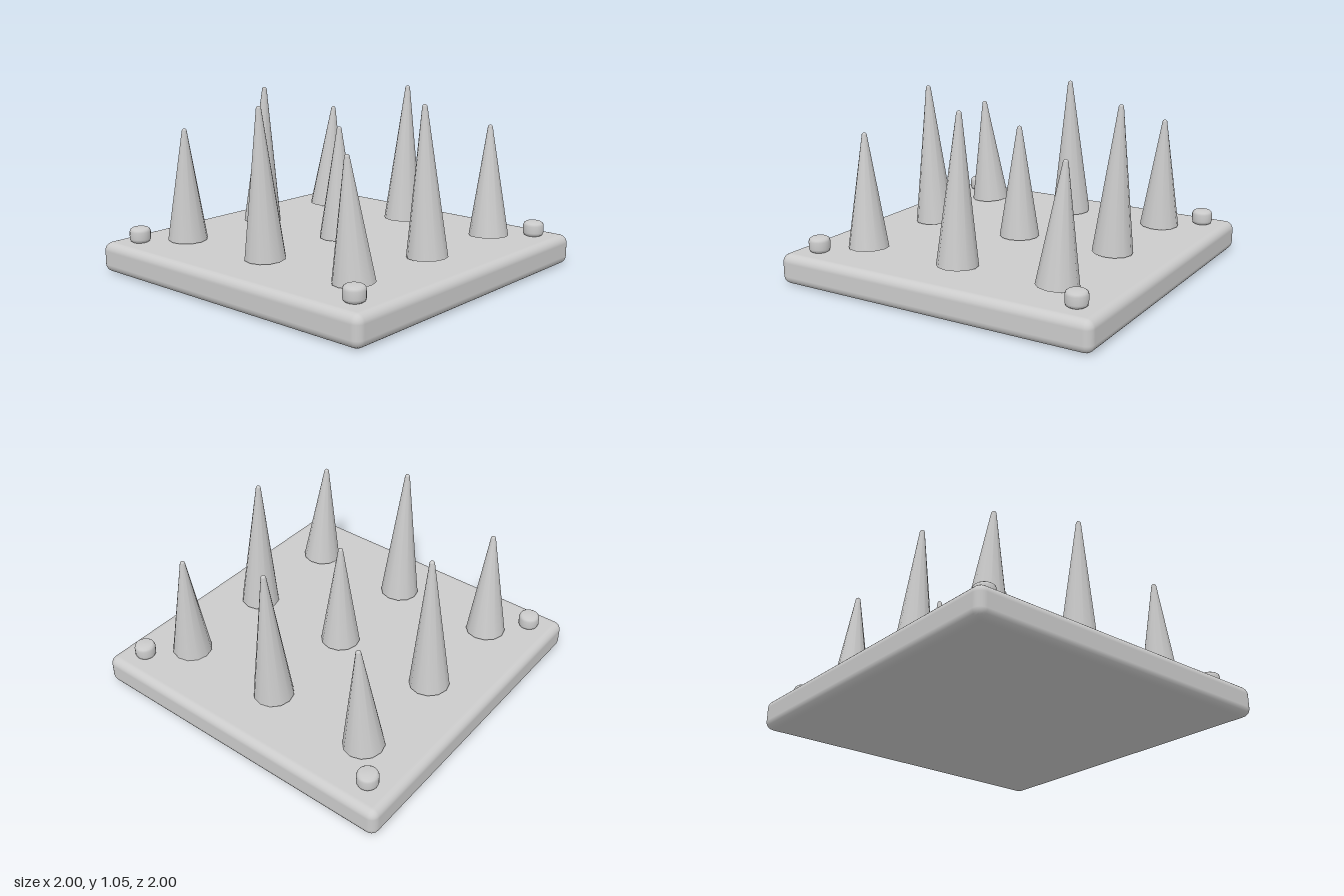
import * as THREE from 'three';
import { RoundedBoxGeometry } from 'three/addons/geometries/RoundedBoxGeometry.js';

const material = new THREE.MeshStandardMaterial({ color: 0xcccccc });

function addMesh(parent, name, geometry, x, y, z) {
  const mesh = new THREE.Mesh(geometry, material);
  mesh.name = name;
  mesh.position.set(x, y, z);
  parent.add(mesh);
  return mesh;
}

// Tapered spike with a small rounded tip, centred on its own mid height
function createSpike(length) {
  const spike = new THREE.Group();
  spike.name = 'spike';
  const tipRadius = 0.015;
  const shaft = length - tipRadius;
  const mid = -tipRadius / 2;
  addMesh(spike, 'spikeShaft', new THREE.CylinderGeometry(tipRadius, 0.119, shaft, 12), 0, mid, 0);
  addMesh(spike, 'spikeTip', new THREE.SphereGeometry(tipRadius, 12, 8), 0, mid + shaft / 2, 0);
  return spike;
}

export function createModel() {
  const model = new THREE.Group();
  model.name = 'spikePlate';

  // Base plate with rounded edges
  addMesh(model, 'basePlate', new RoundedBoxGeometry(2, 0.18, 2, 3, 0.05), 0, 0.09, 0);

  // Three by three spikes: corners and centre short, edge middles tall, each slightly tilted
  const baseY = 0.19;
  const tilt = 0.04;
  for (const i of [-1, 0, 1]) {
    for (const j of [-1, 0, 1]) {
      const length = (i + j) % 2 === 0 ? 0.67 : 0.857;
      const spike = createSpike(length);
      spike.position.set(i * 0.64, baseY + length / 2, j * 0.64);
      spike.rotation.set(-j * tilt, 0, -i * tilt);
      model.add(spike);
    }
  }

  // Rounded bolt heads at the four corners
  const boltProfile = [
    [0, 0], [0.046, 0], [0.057, 0.008], [0.062, 0.022],
    [0.062, 0.064], [0.057, 0.078], [0.046, 0.086], [0, 0.087],
  ].map(([r, y]) => new THREE.Vector2(r, y));
  const boltGeometry = new THREE.LatheGeometry(boltProfile, 20);
  for (const sx of [-1, 1]) {
    for (const sz of [-1, 1]) addMesh(model, 'cornerBolt', boltGeometry, sx * 0.838, 0.179, sz * 0.838);
  }

  return model;
}
